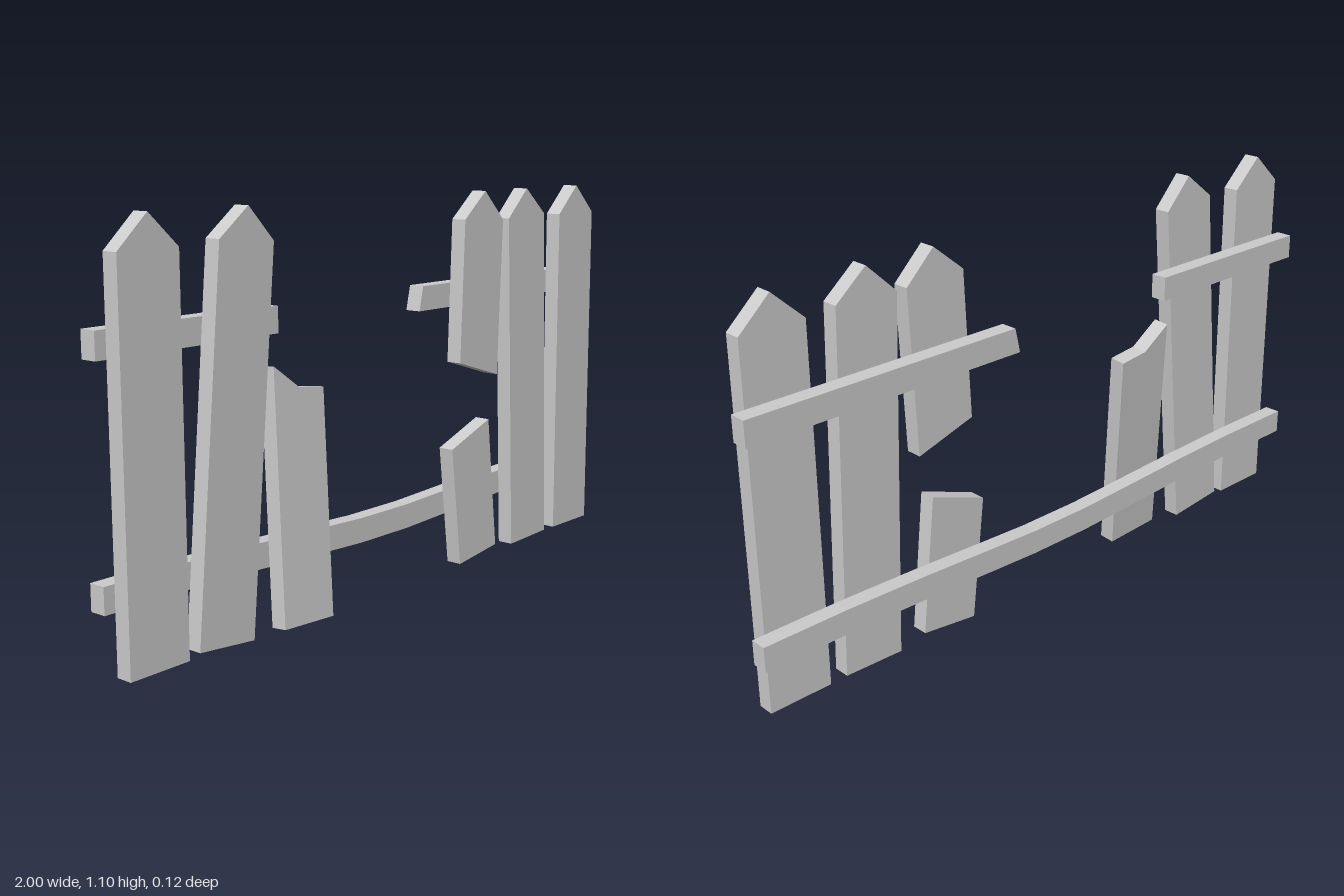
import * as THREE from 'three';

const material = new THREE.MeshStandardMaterial({ color: 0xcccccc, flatShading: true });
const PICKET_BACK = -0.012, RAIL_BACK = -0.06, THICK = 0.047;

// A flat board: an outline in x and y, extruded forward from the given back plane.
function board(name, outline, back, depth) {
  const shape = new THREE.Shape(outline.map(([x, y]) => new THREE.Vector2(x, y)));
  const geometry = new THREE.ExtrudeGeometry(shape, { depth, bevelEnabled: false });
  geometry.translate(0, 0, back);
  const mesh = new THREE.Mesh(geometry, material);
  mesh.name = name;
  return mesh;
}

export function createModel() {
  const fence = new THREE.Group();
  fence.name = 'brokenFence';
  const picket = (name, outline) => {
    const mesh = board(name, outline, PICKET_BACK, THICK);
    fence.add(mesh);
    return mesh;
  };
  const rail = (name, outline) => fence.add(board(name, outline, RAIL_BACK, RAIL_BACK * -1 + PICKET_BACK));

  // Upright end pickets
  for (const [name, x] of [['rightEndPicket', -0.876], ['leftEndPicket', 0.873]]) {
    picket(name, [[x - 0.092, 0.015], [x + 0.092, 0.015], [x + 0.092, 1.015], [x, 1.1], [x - 0.092, 1.015]]);
  }

  // Leaning pickets
  picket('rightLeaningPicket', [[-0.75, 0.025], [-0.565, 0.007], [-0.475, 1.01], [-0.56, 1.1], [-0.658, 1.025]]);
  picket('leftLeaningPicket', [[0.55, 0.01], [0.73, 0.016], [0.696, 1.022], [0.603, 1.1], [0.513, 1.015]]);

  // Picket snapped in two, with its middle missing
  picket('snappedPicketTop', [[0.282, 0.61], [0.462, 0.555], [0.483, 1.014], [0.395, 1.1], [0.3, 1.022]]);
  picket('snappedPicketBottom', [[0.29, 0.006], [0.466, 0.028], [0.423, 0.424], [0.248, 0.36]]);

  // Broken stump, kicked forward at the foot
  const stump = picket('brokenStump', [[-0.48, 0.013], [-0.299, 0.004], [-0.271, 0.615], [-0.362, 0.626], [-0.448, 0.69]]);
  const pivotY = 0.31, pivotZ = PICKET_BACK + THICK / 2;
  stump.geometry.translate(0, -pivotY, -pivotZ);
  stump.position.set(0, pivotY, pivotZ);
  stump.rotation.x = -0.09;

  // Upper rail, broken into two pieces
  rail('upperRailRight', [[-1, 0.77], [-0.416, 0.77], [-0.416, 0.84], [-1, 0.84]]);
  rail('upperRailLeft', [[0.152, 0.77], [1, 0.77], [1, 0.84], [0.168, 0.84]]);

  // Sagging lower rail
  const half = [[0.1, 0.15], [0.25, 0.156], [0.5, 0.167], [0.75, 0.174], [1, 0.175]];
  const underside = [...half.map(([x, y]) => [-x, y]).reverse(), ...half];
  const topside = underside.map(([x, y]) => [x, y + 0.07]).reverse();
  rail('lowerRail', [...underside, ...topside]);

  return fence;
}
